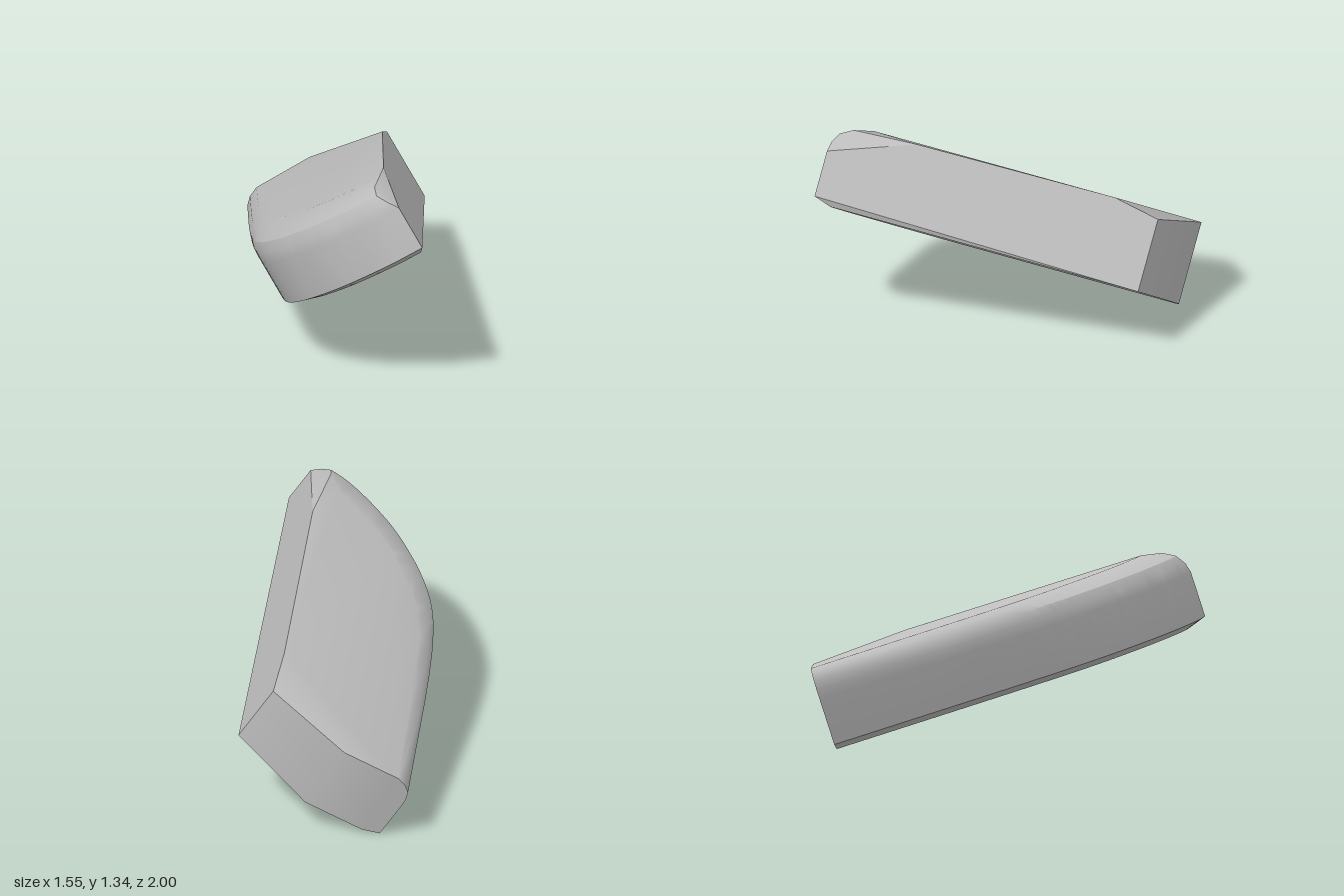
import * as THREE from 'three';
import { toCreasedNormals } from 'three/addons/utils/BufferGeometryUtils.js';
import { ConvexGeometry } from 'three/addons/geometries/ConvexGeometry.js';

// Local frame of the slab: x across, y through its thickness, z along its length.
const THICK = 0.497;
const BACK = -0.27;

export function createModel() {
  const group = new THREE.Group();
  group.name = 'tiltedSlab';
  const stoneGrey = new THREE.MeshStandardMaterial({ color: 0xbcbcbc });
  stoneGrey.name = 'stoneGrey';

  // Curved side of the outline, from the back corner round to the pointed tip
  const side = new THREE.CatmullRomCurve3([
    [-0.972, BACK], [-0.949, 0.911], [-0.899, 1.251], [-0.814, 1.444],
    [-0.705, 1.593], [-0.526, 1.767], [-0.221, 1.936], [0, 1.98],
  ].map(([x, z]) => new THREE.Vector3(x, 0, z)));

  const points = [];
  const add = (x, y, z) => points.push(new THREE.Vector3(x, y, z));

  // Rings up the curved side: [height, inset, inset growth round the curve, limit in x near the tip]
  const rings = [
    [0, 0.1, 0, 0.01], [0.035, 0, 0, 0.01], [0.31, 0, 0, 0.01], [0.37, 0.003, 0.8, -0.02],
    [0.43, 0.02, 0.8, -0.04], [0.47, 0.06, 0.8, -0.06], [THICK, 0.12, 0.8, -0.1],
  ];
  const steps = 35;
  for (const [y, inset, growth, limit] of rings) {
    for (let i = 0; i <= steps; i++) {
      const p = side.getPoint(i / steps);
      const t = side.getTangent(i / steps);
      const d = inset * (1 + growth * THREE.MathUtils.smoothstep(i / steps, 0, 0.45));
      const x = p.x + t.z * d;
      const z = Math.max(BACK, p.z - t.x * d);
      if (x <= limit) add(Math.min(x, 0), y, z);
    }
  }

  // Flat side with its bevelled top corners
  add(0, 0, 0);
  add(0, 0.44, 0);
  add(0, THICK, 0.28);
  add(0, 0.488, 1.48);
  // Blunt back end
  add(-0.49, 0, BACK);
  add(-0.49, THICK, BACK);

  // Tilt the slab and set it on its lowest corner
  const geometry = toCreasedNormals(new ConvexGeometry(points), 0.55);
  const along = new THREE.Vector3(0.257, 0.252, 0.933).normalize();
  const across = new THREE.Vector3(-0.54, 0.838, -0.078).cross(along).normalize();
  const normal = along.clone().cross(across);
  geometry.applyMatrix4(
    new THREE.Matrix4().makeBasis(across, normal, along).setPosition(0.27, 0.51, -0.88)
  );

  const slab = new THREE.Mesh(geometry, stoneGrey);
  slab.name = 'slab';
  group.add(slab);
  return group;
}
